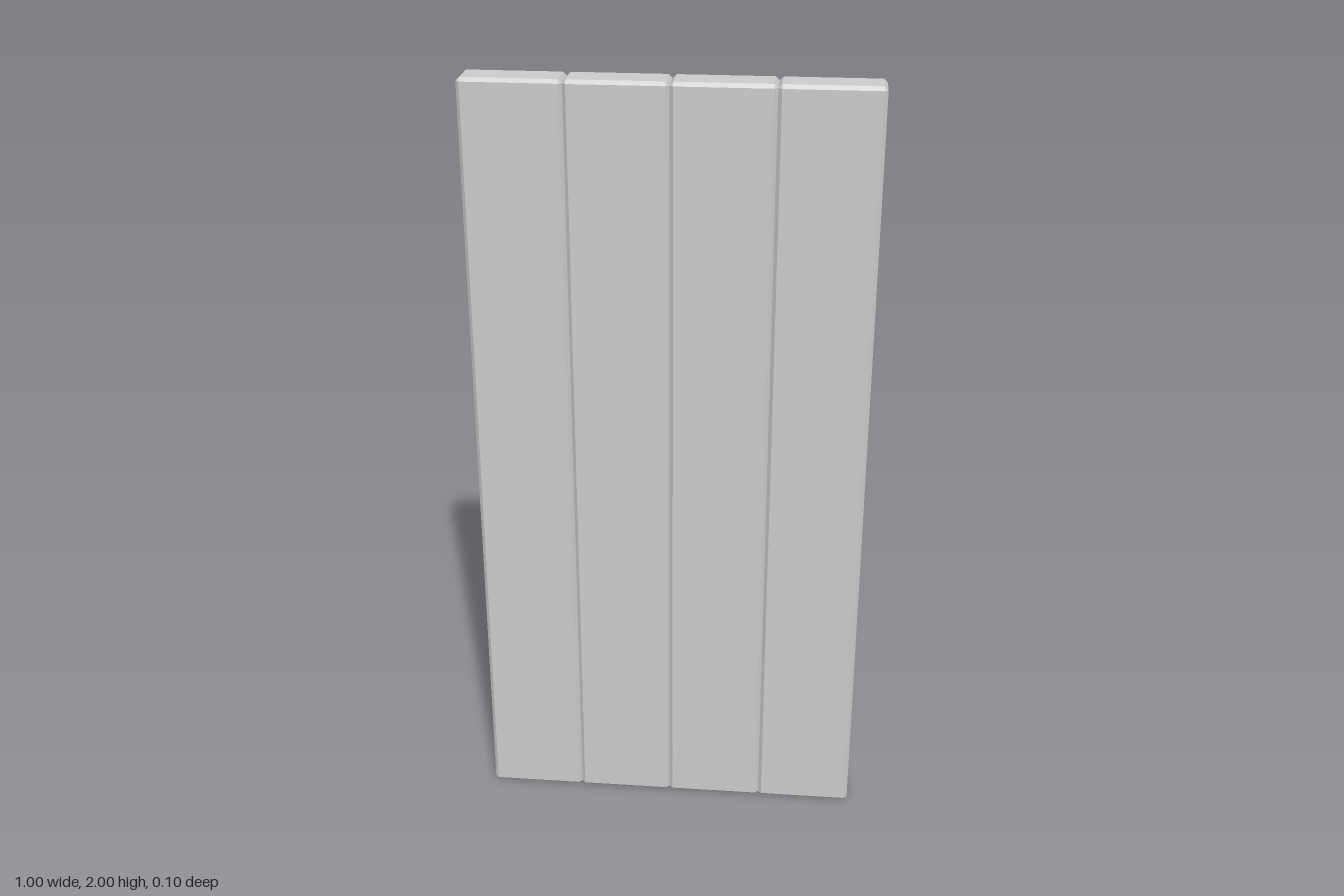
import * as THREE from 'three';
import { ConvexGeometry } from 'three/addons/geometries/ConvexGeometry.js';

const COUNT = 4, WIDTH = 0.998, HEIGHT = 2, DEPTH = 0.096, CHAMFER = 0.009;

// Box with every edge and corner chamfered: each corner becomes three points
function chamferedBox(w, h, d, c) {
  const points = [];
  for (const sx of [-1, 1]) for (const sy of [-1, 1]) for (const sz of [-1, 1]) {
    const x = w / 2, y = h / 2, z = d / 2;
    points.push(
      new THREE.Vector3(sx * x, sy * (y - c), sz * (z - c)),
      new THREE.Vector3(sx * (x - c), sy * y, sz * (z - c)),
      new THREE.Vector3(sx * (x - c), sy * (y - c), sz * z)
    );
  }
  return new ConvexGeometry(points);
}

export function createModel() {
  const group = new THREE.Group();
  group.name = 'plankPanel';
  const material = new THREE.MeshStandardMaterial({ color: 0xcccccc, flatShading: true });

  // Row of upright planks, side by side
  const plankWidth = WIDTH / COUNT;
  const geometry = chamferedBox(plankWidth, HEIGHT, DEPTH, CHAMFER);
  for (let i = 0; i < COUNT; i++) {
    const plank = new THREE.Mesh(geometry, material);
    plank.name = `plank${i + 1}`;
    plank.position.set((i - (COUNT - 1) / 2) * plankWidth, HEIGHT / 2, 0);
    group.add(plank);
  }
  return group;
}
